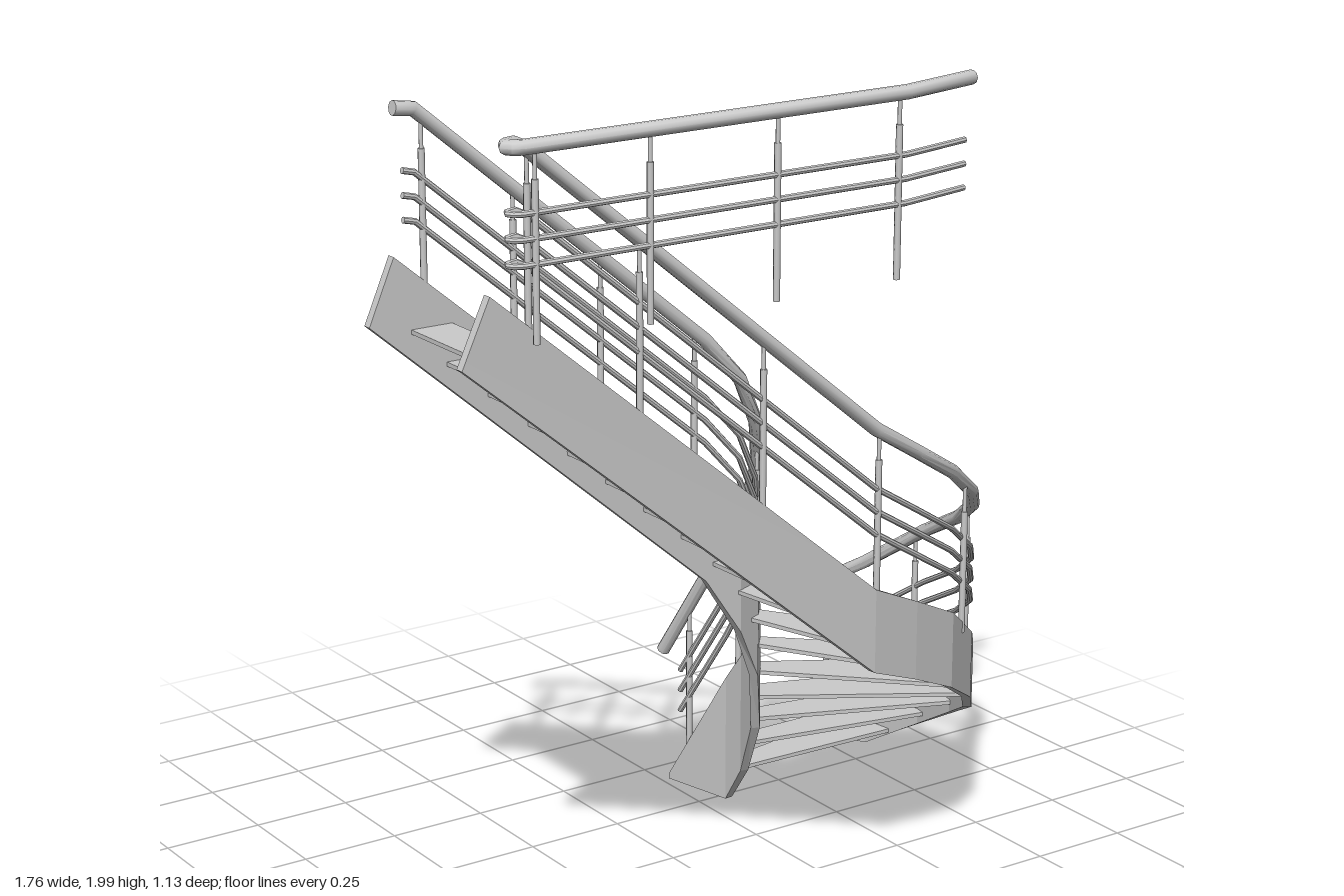
import * as THREE from 'three';
import { toCreasedNormals } from 'three/addons/utils/BufferGeometryUtils.js';

const UP = new THREE.Vector3(0, 1, 0);
const V = (x, y, z) => new THREE.Vector3(x, y, z);
const material = new THREE.MeshStandardMaterial({ color: 0xcccccc });

function addMesh(parent, geometry, name) {
  const mesh = new THREE.Mesh(geometry, material);
  mesh.name = name;
  parent.add(mesh);
  return mesh;
}

// Skin a row of equal rings and close both ends
function loft(rings, crease = 0.7) {
  const pos = [];
  const tri = (...pts) => pts.forEach(p => pos.push(p.x, p.y, p.z));
  const n = rings[0].length, last = rings[rings.length - 1];
  for (let i = 0; i < rings.length - 1; i++) {
    const a = rings[i], b = rings[i + 1];
    for (let j = 0; j < n; j++) {
      const k = (j + 1) % n;
      tri(a[j], b[j], b[k]);
      tri(a[j], b[k], a[k]);
    }
  }
  for (let j = 1; j < n - 1; j++) {
    tri(rings[0][0], rings[0][j], rings[0][j + 1]);
    tri(last[0], last[j + 1], last[j]);
  }
  const g = new THREE.BufferGeometry();
  g.setAttribute('position', new THREE.Float32BufferAttribute(pos, 3));
  return toCreasedNormals(g, crease);
}

// Mitred frame at point i: horizontal side vector and tangent
function frame(pts, i) {
  const p = pts[i], prev = pts[i - 1] ?? p, next = pts[i + 1] ?? p;
  const a = (i > 0 ? p.clone().sub(prev) : next.clone().sub(p)).normalize();
  const b = (i < pts.length - 1 ? next.clone().sub(p) : a.clone()).normalize();
  const tangent = a.clone().add(b).normalize();
  const side = tangent.clone().cross(UP).normalize();
  const flat = a.clone().cross(UP).normalize();
  return { tangent, side, miter: 1 / Math.max(0.6, flat.dot(side)) };
}

// Round bar along a polyline
function bar(pts, r, sides = 10) {
  return loft(pts.map((p, i) => {
    const { tangent, side, miter } = frame(pts, i);
    const up = side.clone().cross(tangent);
    return Array.from({ length: sides }, (_, j) => {
      const t = j / sides * Math.PI * 2;
      return p.clone().addScaledVector(side, Math.cos(t) * r * miter).addScaledVector(up, Math.sin(t) * r);
    });
  }));
}

// Upright plate along a path of [x, z, top, bottom, bottom shift in x]
function stringer(rows, thick = 0.022) {
  const plan = rows.map(([x, z]) => V(x, 0, z));
  return loft(rows.map(([x, z, top, bottom, dx = 0], i) => {
    const { side, miter } = frame(plan, i);
    const s = side.multiplyScalar(thick / 2 * miter);
    const t = V(x, top, z), b = V(x + dx, bottom, z);
    return [t.clone().add(s), t.clone().sub(s), b.clone().sub(s), b.clone().add(s)];
  }), 0.1);
}

// Post with a thinner pin under the handrail
function post(parent, x, z, y0, y1, name) {
  const g = new THREE.Group();
  g.name = name;
  const neck = y1 - 0.07;
  addMesh(g, new THREE.CylinderGeometry(0.008, 0.008, neck - y0, 8), 'postShaft').position.set(x, (y0 + neck) / 2, z);
  addMesh(g, new THREE.CylinderGeometry(0.005, 0.005, y1 - neck, 8), 'postPin').position.set(x, (neck + y1) / 2, z);
  parent.add(g);
}

// Handrail plus three thinner rails below; the thin rails stop short at both ends
function railing(parent, pts, thinStart, thinEnd, name) {
  addMesh(parent, bar(pts, 0.017), name + 'Handrail');
  const thin = [thinStart, ...pts.slice(1, -1), thinEnd];
  for (const drop of [0.14, 0.195, 0.25])
    addMesh(parent, bar(thin.map(p => V(p.x, p.y - drop, p.z)), 0.0075, 8), name + 'MidRail');
}

export function createModel() {
  const model = new THREE.Group();
  model.name = 'curvedStaircase';

  // Stringers
  addMesh(model, stringer([
    [-0.81, 0.505, 1.67, 1.52, -0.07], [0.22, 0.495, 0.815, 0.61], [0.36, 0.47, 0.75, 0.555],
    [0.5, 0.43, 0.68, 0.49], [0.64, 0.33, 0.57, 0.4], [0.76, 0.19, 0.475, 0.3], [0.83, 0.05, 0.395, 0.225],
    [0.86, -0.12, 0.31, 0.13], [0.835, -0.31, 0.175, 0.02], [0.745, -0.5, 0.03, 0.015],
  ]), 'outerStringer');
  addMesh(model, stringer([
    [-0.78, 0.055, 1.655, 1.505, -0.065], [0.05, 0.055, 0.96, 0.74], [0.15, 0.055, 0.84, 0.59],
    [0.22, 0.025, 0.72, 0.45], [0.27, -0.035, 0.58, 0.28], [0.298, -0.12, 0.44, 0.13],
    [0.3, -0.19, 0.36, 0.03], [0.262, -0.39, 0.04, 0.025],
  ]), 'innerStringer');

  // Treads between nosing lines [inner x, inner z, outer x, outer z]
  const lines = [
    [0.295, -0.28, 0.79, -0.37], [0.3, -0.24, 0.84, -0.24], [0.3, -0.2, 0.85, -0.11], [0.295, -0.155, 0.83, 0.04],
    [0.285, -0.09, 0.76, 0.19], [0.265, -0.04, 0.65, 0.32], [0.24, -0.005, 0.52, 0.415],
    [0.2, 0.03, 0.36, 0.465], [0.15, 0.05, 0.23, 0.485], [0.08, 0.055, 0.1, 0.49],
  ];
  for (let i = 0; i <= 7; i++) lines.push([-0.01 - i * 0.1043, 0.06, -0.01 - i * 0.1043, 0.5]);
  const treadThick = 0.01;
  for (let i = 0; i < 17; i++) {
    const top = 0.085 + i * 0.0875, f = lines[i], reach = i < 16 ? 1.15 : 1;
    const b = f.map((v, k) => v + (lines[i + 1][k] - v) * reach);
    const ring = k => [
      V(b[k], top, b[k + 1]), V(f[k], top, f[k + 1]),
      V(f[k], top - treadThick, f[k + 1]), V(b[k], top - treadThick, b[k + 1]),
    ];
    addMesh(model, loft([ring(0), ring(2)], 0.1), 'tread');
  }

  // Outer railing: landing guard, tight return, then down the stair
  const h = 1.982;
  railing(model, [
    V(0.47, h, 0.497), V(0.25, h, 0.545), V(-0.745, h, 0.545), V(-0.762, h, 0.538), V(-0.769, h, 0.525),
    V(-0.762, h, 0.512), V(-0.74, h, 0.505), V(-0.71, 1.968, 0.505), V(0.22, 1.2, 0.495), V(0.36, 1.115, 0.47),
    V(0.5, 1.03, 0.43), V(0.64, 0.93, 0.33), V(0.76, 0.835, 0.19), V(0.83, 0.75, 0.05),
    V(0.86, 0.66, -0.12), V(0.83, 0.52, -0.33), V(0.72, 0.37, -0.56),
  ], V(0.45, h, 0.501), V(0.785, 0.455, -0.43), 'outer');

  // Inner railing
  railing(model, [
    V(-0.77, h, 0.058), V(-0.72, 1.975, 0.058), V(0.05, 1.335, 0.058), V(0.15, 1.225, 0.058), V(0.22, 1.1, 0.025),
    V(0.27, 0.97, -0.035), V(0.298, 0.84, -0.12), V(0.298, 0.72, -0.2), V(0.255, 0.37, -0.42),
  ], V(-0.75, h, 0.058), V(0.267, 0.47, -0.36), 'inner');

  // Posts [x, z, foot, head]
  [
    [-0.71, 0.505, 1.56, 1.965], [-0.43, 0.503, 1.33, 1.735], [-0.1, 0.5, 1.06, 1.465], [0.23, 0.494, 0.79, 1.195],
    [0.575, 0.385, 0.6, 0.975], [0.795, 0.13, 0.42, 0.795], [0.855, -0.15, 0.27, 0.64], [0.783, -0.43, 0.01, 0.455],
  ].forEach(p => post(model, ...p, 'outerPost'));
  [
    [-0.7, 0.057, 1.56, 1.955], [-0.47, 0.057, 1.38, 1.765], [-0.24, 0.057, 1.18, 1.575], [0.02, 0.057, 0.96, 1.36],
    [0.247, -0.005, 0.62, 1.035], [0.299, -0.15, 0.38, 0.79], [0.274, -0.33, 0.1, 0.515],
  ].forEach(p => post(model, ...p, 'innerPost'));
  for (const x of [-0.715, -0.43, -0.1, 0.23]) post(model, x, 0.545, 1.56, h, 'guardPost');

  return model;
}
